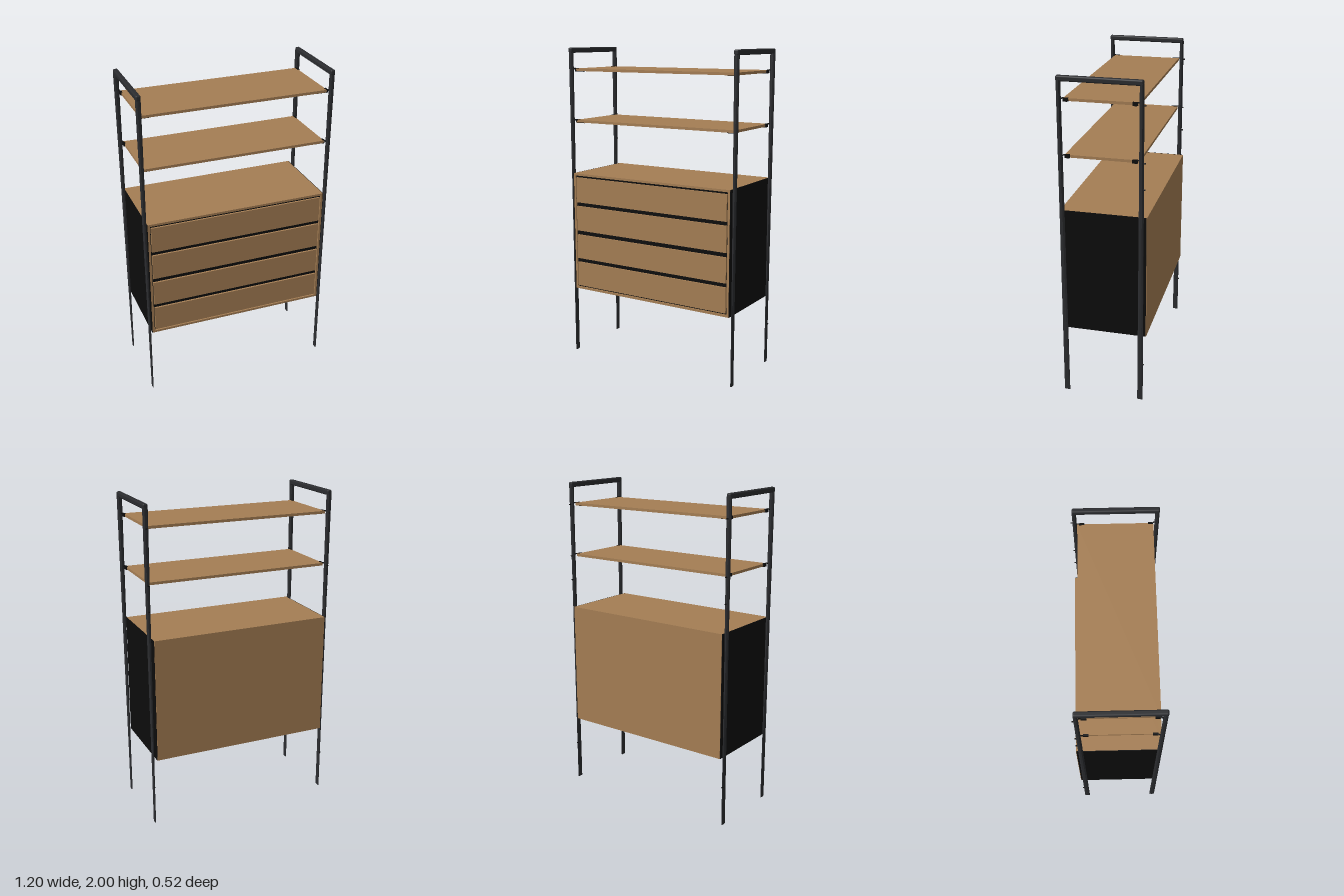
import * as THREE from 'three';
import { RoundedBoxGeometry } from 'three/addons/geometries/RoundedBoxGeometry.js';

const wood = new THREE.MeshStandardMaterial({ color: 0xa57e54 });
const metal = new THREE.MeshStandardMaterial({ color: 0x2b2c2f });
const black = new THREE.MeshStandardMaterial({ color: 0x0c0c0c });

function add(parent, name, geometry, material) {
  const mesh = new THREE.Mesh(geometry, material);
  mesh.name = name;
  parent.add(mesh);
  return mesh;
}

// Box given by its extents on each axis
function box(parent, name, material, [x0, x1], [y0, y1], [z0, z1]) {
  const mesh = add(parent, name, new THREE.BoxGeometry(x1 - x0, y1 - y0, z1 - z0), material);
  mesh.position.set((x0 + x1) / 2, (y0 + y1) / 2, (z0 + z1) / 2);
  return mesh;
}

// Chamfered upright: flat and wide at the foot, thicker and narrower at the top
function legGeometry(height) {
  let g = new THREE.CylinderGeometry(1, 1, height, 8, 8);
  g.rotateY(Math.PI / 8);
  g.translate(0, height / 2, 0);
  const p = g.attributes.position;
  const flat = Math.cos(Math.PI / 8);
  for (let i = 0; i < p.count; i++) {
    const t = p.getY(i) / height;
    p.setX(i, p.getX(i) / flat * THREE.MathUtils.lerp(0.004, 0.015, t));
    p.setZ(i, p.getZ(i) / flat * THREE.MathUtils.lerp(0.017, 0.0115, t));
  }
  g = g.toNonIndexed();
  g.computeVertexNormals();
  return g;
}

export function createModel() {
  const model = new THREE.Group();
  model.name = 'shelvingCabinet';

  // Side frames: two uprights joined by a top rail, with small pins at the back
  const leg = legGeometry(1.98);
  for (const s of [-1, 1]) {
    const frame = new THREE.Group();
    frame.name = s > 0 ? 'leftFrame' : 'rightFrame';
    model.add(frame);
    for (const z of [0.236, -0.23]) {
      add(frame, z > 0 ? 'frontLeg' : 'backLeg', leg, metal).position.set(s * 0.587, 0, z);
    }
    const rail = add(frame, 'topRail', new RoundedBoxGeometry(0.03, 0.032, 0.489, 3, 0.009), metal);
    rail.position.set(s * 0.587, 1.984, 0.0045);
    for (const y of [0.25, 1.38, 1.535, 1.862]) {
      const pin = add(frame, 'pin', new THREE.CylinderGeometry(0.004, 0.004, 0.03, 8), black);
      pin.rotation.x = Math.PI / 2;
      pin.position.set(s * 0.587, y, -0.238);
    }
  }

  // Open shelves with clips at the ends and hooks to the back uprights
  for (const y of [1.538, 1.863]) {
    const shelf = new THREE.Group();
    shelf.name = 'shelf';
    model.add(shelf);
    box(shelf, 'shelfBoard', wood, [-0.572, 0.572], [y - 0.008, y + 0.008], [-0.215, 0.215]);
    for (const s of [-1, 1]) {
      for (const z of [-0.19, 0.2]) {
        const clip = box(shelf, 'clip', black, [-0.006, 0.006], [y - 0.01, y + 0.01], [z - 0.015, z + 0.015]);
        clip.position.x = s * 0.572;
        const bracket = box(shelf, 'bracket', black, [-0.03, 0.03], [y - 0.012, y - 0.007], [z - 0.008, z + 0.008]);
        bracket.position.x = s * 0.545;
        const end = Math.sign(z);
        const path = new THREE.CatmullRomCurve3([
          new THREE.Vector3(s * 0.573, y, z),
          new THREE.Vector3(s * 0.575, y + 0.009, end * 0.216),
          new THREE.Vector3(s * 0.583, y + 0.002, end * 0.23),
        ]);
        add(shelf, 'hook', new THREE.TubeGeometry(path, 8, 0.004, 6), black);
      }
    }
  }

  // Cabinet carcass
  const cabinet = new THREE.Group();
  cabinet.name = 'cabinet';
  model.add(cabinet);
  const X = [-0.573, 0.566], Y = [0.435, 1.205], Z = [-0.26, 0.254], t = 0.014;
  box(cabinet, 'top', wood, X, [Y[1] - t, Y[1]], Z);
  box(cabinet, 'bottom', wood, X, [Y[0], Y[0] + t], Z);
  box(cabinet, 'back', wood, X, [Y[0] + t, Y[1] - t], [Z[0], Z[0] + t]);
  for (const [x0, x1] of [[X[0], X[0] + t], [X[1] - t, X[1]]]) {
    box(cabinet, 'side', wood, [x0, x1], [Y[0] + t, Y[1] - t], [Z[0] + t, Z[1]]);
  }
  box(cabinet, 'rightSidePanel', black, [X[0] - 0.003, X[0]], Y, [-0.257, 0.253]);
  box(cabinet, 'leftSidePanel', black, [X[1], X[1] + 0.003], Y, [-0.257, 0.253]);

  // Dark recess behind the drawer fronts
  box(cabinet, 'recess', black, [X[0] + t, X[1] - t], [Y[0] + t, Y[1] - t], [0.2, 0.244]);

  // Four drawer fronts
  for (const y of [[0.458, 0.617], [0.643, 0.801], [0.829, 0.991], [1.016, 1.179]]) {
    box(cabinet, 'drawerFront', wood, [-0.553, 0.546], y, [0.244, 0.256]);
  }
  return model;
}
